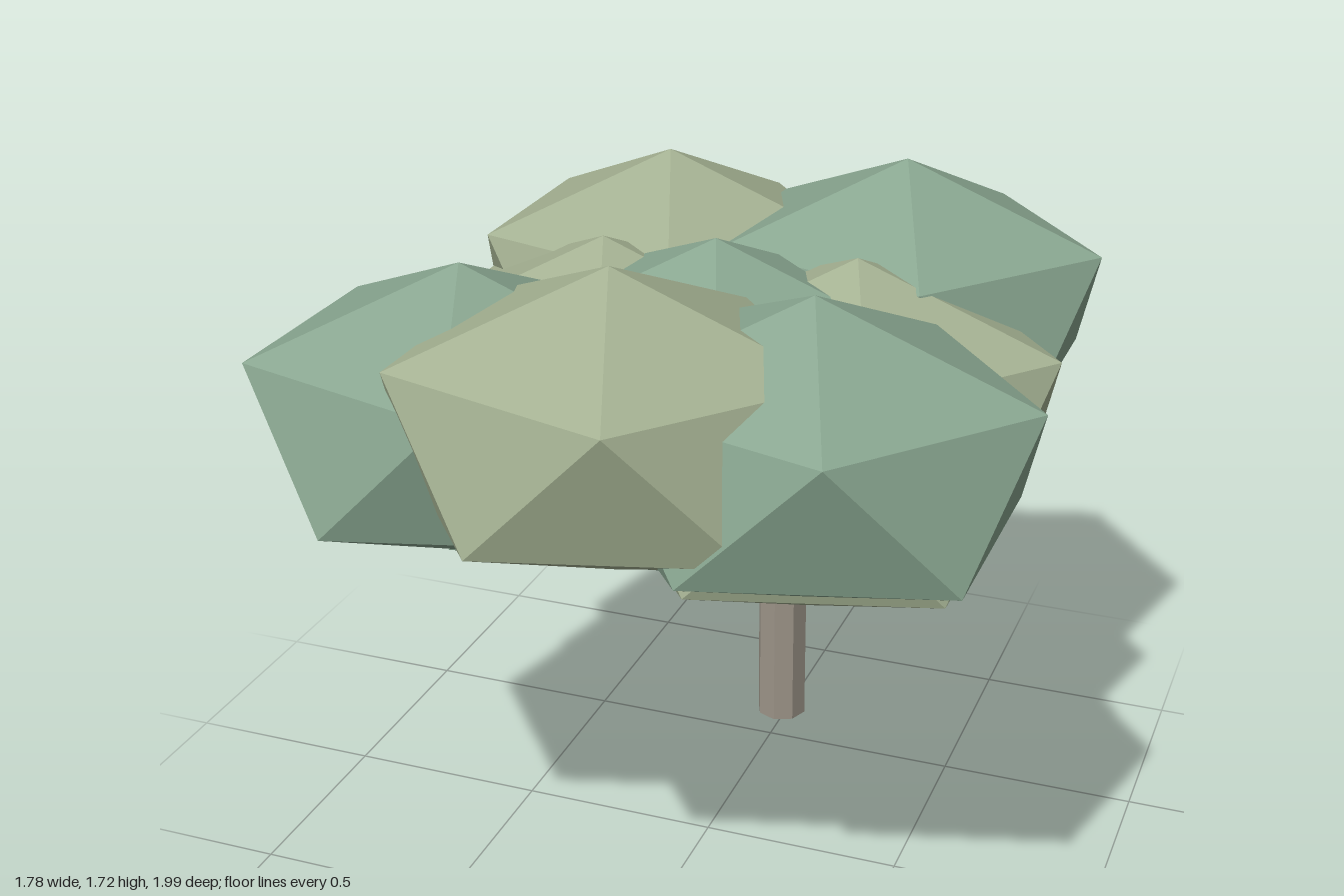
import * as THREE from 'three';

const material = (color) => new THREE.MeshStandardMaterial({ color, flatShading: true });

// Icosahedron with one corner pointing straight up and an upper-ring corner towards +x
function clumpGeometry() {
  const golden = (1 + Math.sqrt(5)) / 2;
  const geometry = new THREE.IcosahedronGeometry(1, 0);
  geometry.rotateX(-Math.atan(golden));
  geometry.rotateY(Math.PI / 2);
  return geometry;
}

// Straight limb between two points
function limb(name, from, to, radius, sides, mat) {
  const a = new THREE.Vector3(...from);
  const b = new THREE.Vector3(...to);
  const dir = b.clone().sub(a);
  const mesh = new THREE.Mesh(new THREE.CylinderGeometry(radius, radius, dir.length(), sides), mat);
  mesh.name = name;
  mesh.position.copy(a).add(b).multiplyScalar(0.5);
  mesh.quaternion.setFromUnitVectors(new THREE.Vector3(0, 1, 0), dir.normalize());
  return mesh;
}

export function createModel() {
  const tree = new THREE.Group();
  tree.name = 'tree';
  const bark = material(0x9c9488);
  const green = material(0x88a58f);
  const olive = material(0xa3b091);

  // Trunk
  tree.add(limb('trunk', [-0.015, 0, -0.64], [-0.015, 0.49, -0.632], 0.068, 8, bark));

  // Branches: each a lower and an upper segment
  const branches = [
    ['rightBranch', [-0.05, 0.45, -0.64], [-0.285, 0.66, -0.42], [-0.24, 0.9, -0.24]],
    ['leftBranch', [0.0, 0.515, -0.63], [0.225, 0.715, -0.41], [0.19, 0.92, -0.22]],
    ['middleBranch', [0.0, 0.565, -0.61], [-0.13, 0.785, -0.38], [-0.07, 0.93, -0.2]],
  ];
  for (const [name, root, elbow, tip] of branches) {
    const branch = new THREE.Group();
    branch.name = name;
    branch.add(limb('lowerSegment', root, elbow, 0.033, 8, bark));
    branch.add(limb('upperSegment', elbow, tip, 0.03, 8, bark));
    tree.add(branch);
  }

  // Foliage clumps: name, material, centre, half height
  const clumps = [
    ['frontClump', olive, [0, 1.375, 0.58], 0.345],
    ['frontLeftClump', green, [0.4, 1.32, 0.455], 0.345],
    ['frontRightClump', green, [-0.4, 1.295, 0.46], 0.345],
    ['backLeftClump', green, [0.305, 1.3, -0.58], 0.352],
    ['backRightClump', olive, [-0.31, 1.27, -0.565], 0.348],
    ['centreClump', green, [-0.01, 1.225, -0.08], 0.345],
    ['centreFrontClump', green, [-0.05, 1.17, 0.17], 0.35],
    ['lowerRightClump', green, [-0.335, 1.07, 0], 0.348],
    ['lowerLeftClump', olive, [0.285, 1.11, 0.11], 0.35],
    ['middleLeftClump', olive, [0.3, 1.175, -0.19], 0.348],
    ['middleRightClump', olive, [-0.34, 1.155, -0.19], 0.348],
  ];
  const geometry = clumpGeometry();
  for (const [name, mat, centre, halfHeight] of clumps) {
    const clump = new THREE.Mesh(geometry, mat);
    clump.name = name;
    clump.position.set(...centre);
    clump.scale.set(0.55, halfHeight, 0.488);
    tree.add(clump);
  }
  return tree;
}
